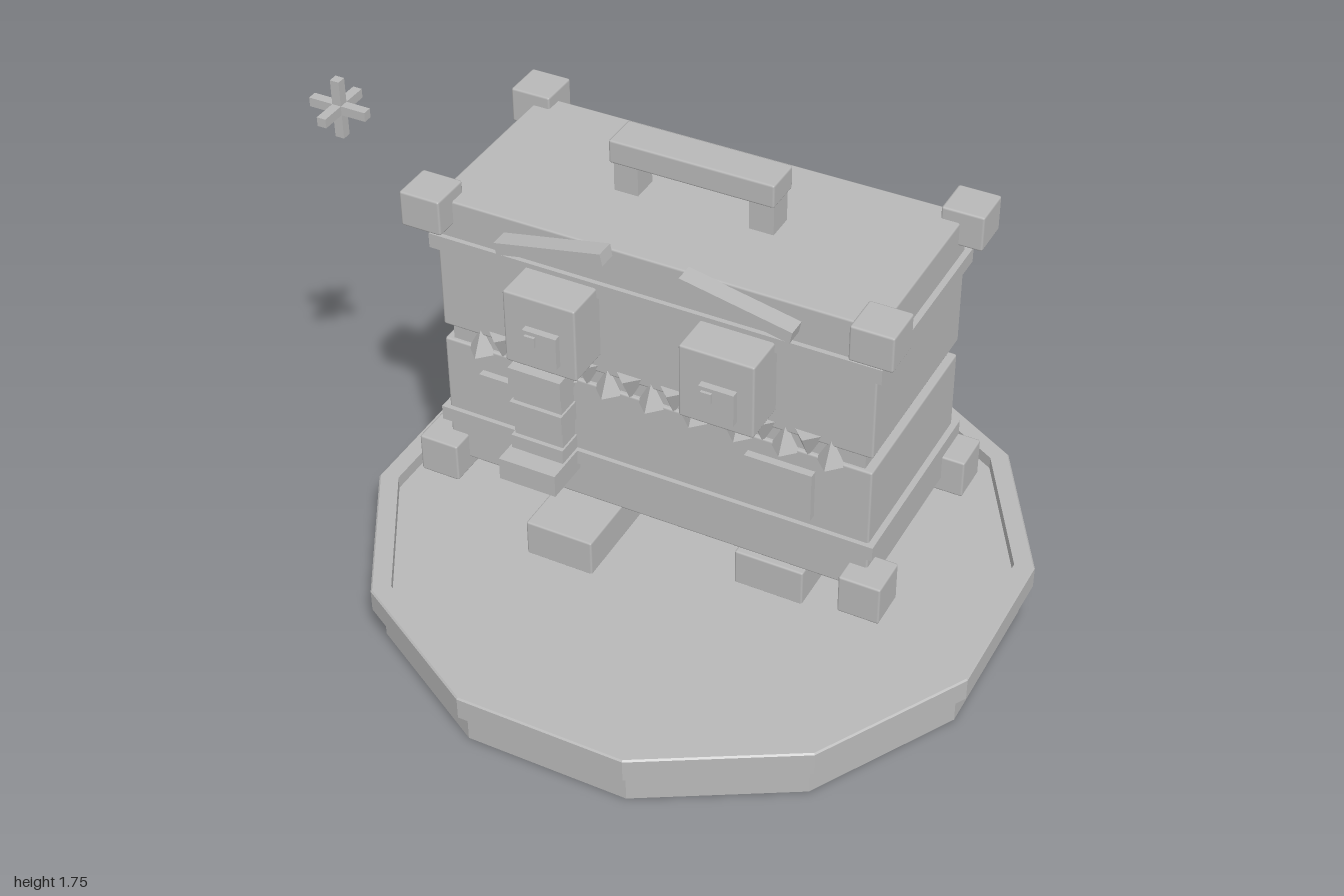
import * as THREE from 'three';
import { RoundedBoxGeometry } from 'three/addons/geometries/RoundedBoxGeometry.js';

const clay = new THREE.MeshStandardMaterial({ color: 0xb8b8b8 });
clay.name = 'clayGrey';

export function createModel() {
  const model = new THREE.Group();
  model.name = 'walkingChest';

  const add = (name, geometry, x = 0, y = 0, z = 0) => {
    const mesh = new THREE.Mesh(geometry, clay);
    mesh.name = name;
    mesh.position.set(x, y, z);
    model.add(mesh);
    return mesh;
  };
  // Boxes given as [min, max] on each axis, plain or with a slight bevel
  const place = (name, make, [x0, x1], [y0, y1], [z0, z1]) =>
    add(name, make(x1 - x0, y1 - y0, z1 - z0), (x0 + x1) / 2, (y0 + y1) / 2, (z0 + z1) / 2);
  const box = (name, ...r) => place(name, (w, h, d) => new THREE.BoxGeometry(w, h, d), ...r);
  const bevelBox = (name, ...r) => place(name, (w, h, d) => new RoundedBoxGeometry(w, h, d, 1, 0.007), ...r);
  const faceted = (geometry) => {
    const g = geometry.toNonIndexed();
    g.computeVertexNormals();
    return g;
  };
  const around = (c, size) => [c - size / 2, c + size / 2];

  // Twelve-sided pedestal with a recessed floor inside the rim
  const profile = [[0, 0], [0.995, 0], [1.0, 0.005], [1.0, 0.11], [1.03, 0.11], [1.035, 0.115],
    [1.035, 0.187], [1.03, 0.192], [0.972, 0.192], [0.972, 0.15], [0, 0.15]];
  add('pedestal', faceted(new THREE.LatheGeometry(
    profile.map(([r, y]) => new THREE.Vector2(r, y)), 12, Math.PI / 12)));

  // Feet and legs, mid-stride
  for (const [x, footZ, legZ] of [[-0.313, 0.162, 0.085], [0.31, -0.008, -0.08]]) {
    bevelBox('foot', around(x, 0.226), [0.145, 0.272], around(footZ, 0.335));
    box('leg', around(x, 0.102), [0.26, 0.44], around(legZ, 0.102));
  }

  // Chest body, mouth gap and lid
  bevelBox('chestBody', [-0.686, 0.686], [0.435, 0.87], [-0.305, 0.305]);
  box('mouthInterior', [-0.66, 0.66], [0.86, 0.93], [-0.293, 0.293]);
  bevelBox('lid', [-0.686, 0.686], [0.92, 1.366], [-0.305, 0.305]);
  for (const y of [0.591, 1.22]) {
    box('band', [-0.705, 0.705], around(y, 0.048), [-0.32, 0.32]);
  }

  // Corner caps
  for (const sx of [-1, 1]) {
    for (const sz of [-1, 1]) {
      bevelBox('lowerCornerCap', around(sx * 0.692, 0.13), [0.392, 0.522], around(sz * 0.31, 0.13));
      bevelBox('upperCornerCap', around(sx * 0.692, 0.13), [1.29, 1.404], around(sz * 0.31, 0.13));
    }
  }

  // Carrying handle
  bevelBox('handleBar', [-0.257, 0.257], [1.465, 1.54], [-0.06, 0.06]);
  for (const s of [-1, 1]) {
    box('handlePost', around(s * 0.212, 0.076), [1.355, 1.475], [-0.043, 0.043]);
  }

  // Eyes, pupils, glints and brows
  for (const s of [-1, 1]) {
    const x = s * 0.275;
    bevelBox('eye', around(x, 0.23), [0.985, 1.228], [0.29, 0.445]);
    box('pupil', around(x + 0.011, 0.107), [1.025, 1.13], [0.43, 0.467]);
    box('glint', around(x - 0.016, 0.033), [1.085, 1.118], [0.45, 0.476]);
    const brow = add('brow', new THREE.BoxGeometry(0.346, 0.038, 0.06), s * 0.287, 1.33, 0.333);
    brow.rotation.z = -s * 0.2;
  }

  // Two interlocking rows of pointed teeth
  const toothGeometry = faceted(new THREE.ConeGeometry(0.045, 0.088, 4));
  for (let i = 0; i < 9; i++) {
    add('lowerTooth', toothGeometry, -0.56 + i * 0.14, 0.904, 0.3);
    if (i < 8) add('upperTooth', toothGeometry, -0.49 + i * 0.14, 0.9, 0.3).rotation.x = Math.PI;
  }
  box('toothChip', [0.272, 0.325], [0.93, 0.97], [0.29, 0.328]);

  // Tongue made of stacked steps with a curled tip
  const steps = 5;
  for (let i = 0; i < steps; i++) {
    const top = 0.91 - i * 0.062;
    const odd = i % 2;
    box('tongueStep', around(-0.334, odd ? 0.16 : 0.172), [top - 0.064, top], [0.295, odd ? 0.378 : 0.392]);
  }
  box('tongueTip', around(-0.334, 0.187), [0.54, 0.615], [0.3, 0.455]);

  // Patches on the cheeks
  box('patch', [-0.56, -0.38], [0.657, 0.792], [0.295, 0.328]);
  box('patch', [0.307, 0.516], [0.65, 0.813], [0.295, 0.33]);

  // Floating sparkle: three crossed bars
  for (let axis = 0; axis < 3; axis++) {
    const size = [0.028, 0.028, 0.028];
    size[axis] = 0.18;
    add('sparkleBar', new THREE.BoxGeometry(...size), -0.901, 1.66, 0.413);
  }

  return model;
}
